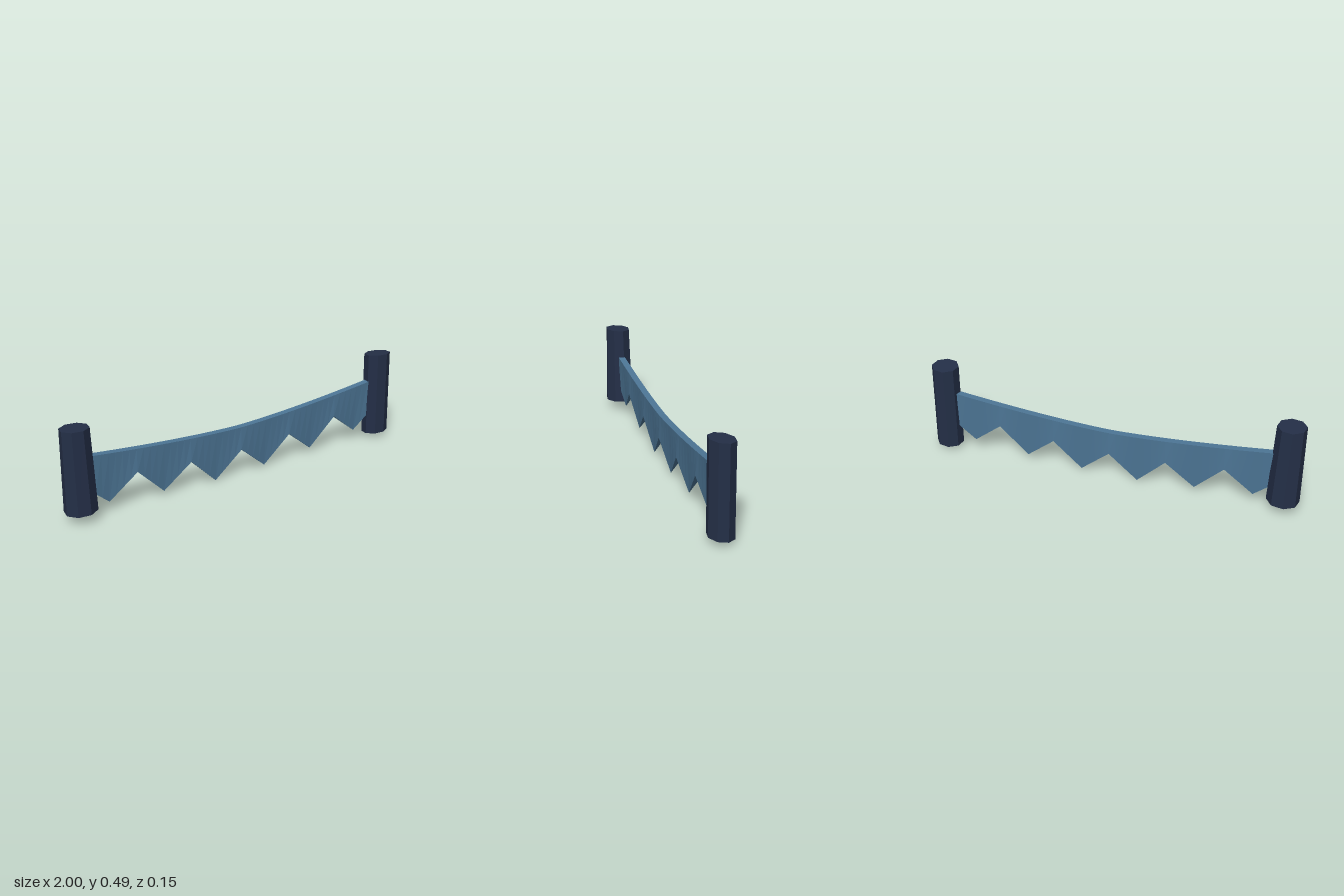
import * as THREE from 'three';

const postMat = new THREE.MeshStandardMaterial({ color: 0x242f47 });
postMat.name = 'dark navy';
const bladeMat = new THREE.MeshStandardMaterial({ color: 0x4d7696 });
bladeMat.name = 'steel blue';

// Uneven eight-sided post: each end has a centre x, z, height, radii and slopes along x and z.
function makePost(name, bottom, top) {
  const geo = new THREE.CylinderGeometry(1, 1, 1, 8, 1, false, THREE.MathUtils.degToRad(12)).toNonIndexed();
  const p = geo.attributes.position;
  for (let i = 0; i < p.count; i++) {
    const e = p.getY(i) > 0 ? top : bottom;
    const dx = p.getX(i) * e.rx, dz = p.getZ(i) * e.rz;
    p.setXYZ(i, e.x + dx, e.y + dx * e.sx + dz * e.sz, e.z + dz);
  }
  geo.computeVertexNormals();
  const mesh = new THREE.Mesh(geo, postMat);
  mesh.name = name;
  return mesh;
}

// Lower edge of the blade: alternating valleys and tips, starting and ending inside the posts.
const edge = [
  [-0.92, 0.185], [-0.765, 0.052], [-0.615, 0.178], [-0.46, 0.025], [-0.308, 0.152],
  [-0.153, 0], [-0.003, 0.142], [0.155, 0.008], [0.305, 0.156], [0.46, 0.03],
  [0.61, 0.186], [0.767, 0.062], [0.92, 0.195],
];

// Sagging upper edge
function topY(x) {
  return 0.267 + 0.063 * Math.pow(Math.abs(x) / 0.85, 1.55) + 0.008 * x;
}

// Toothed blade lofted along x; full thickness at the valleys, sharp at the tips.
function makeBlade() {
  const steps = 4, sections = [];
  for (let s = 0; s < edge.length - 1; s++) {
    for (let j = s ? 1 : 0; j <= steps; j++) {
      const t = j / steps;
      const x = THREE.MathUtils.lerp(edge[s][0], edge[s + 1][0], t);
      const y = THREE.MathUtils.lerp(edge[s][1], edge[s + 1][1], t);
      const h = 0.019 * (s % 2 ? t : 1 - t) + 0.0004;
      sections.push([[x, topY(x), 0.018], [x, topY(x), -0.018], [x, y, -h], [x, y, h]]);
    }
  }
  const verts = [];
  for (let i = 0; i < sections.length - 1; i++) {
    for (let k = 0; k < 4; k++) {
      const n = (k + 1) % 4;
      const a = sections[i][k], b = sections[i + 1][k], c = sections[i + 1][n], d = sections[i][n];
      verts.push(...a, ...b, ...c, ...a, ...c, ...d);
    }
  }
  const geo = new THREE.BufferGeometry();
  geo.setAttribute('position', new THREE.Float32BufferAttribute(verts, 3));
  geo.computeVertexNormals();
  const mesh = new THREE.Mesh(geo, bladeMat);
  mesh.name = 'toothedBlade';
  return mesh;
}

export function createModel() {
  const group = new THREE.Group();
  group.name = 'bladeWithPosts';
  group.add(
    makeBlade(),
    makePost('rightPost',
      { x: -0.918, z: 0.001, y: 0.051, rx: 0.084, rz: 0.079, sx: 0.03, sz: 0.02 },
      { x: -0.928, z: 0.004, y: 0.48, rx: 0.0735, rz: 0.068, sx: 0, sz: 0.05 }),
    makePost('leftPost',
      { x: 0.924, z: 0.001, y: 0.0255, rx: 0.0745, rz: 0.065, sx: 0.01, sz: 0.1 },
      { x: 0.917, z: 0.001, y: 0.488, rx: 0.0735, rz: 0.065, sx: 0, sz: 0.11 }),
  );
  return group;
}
